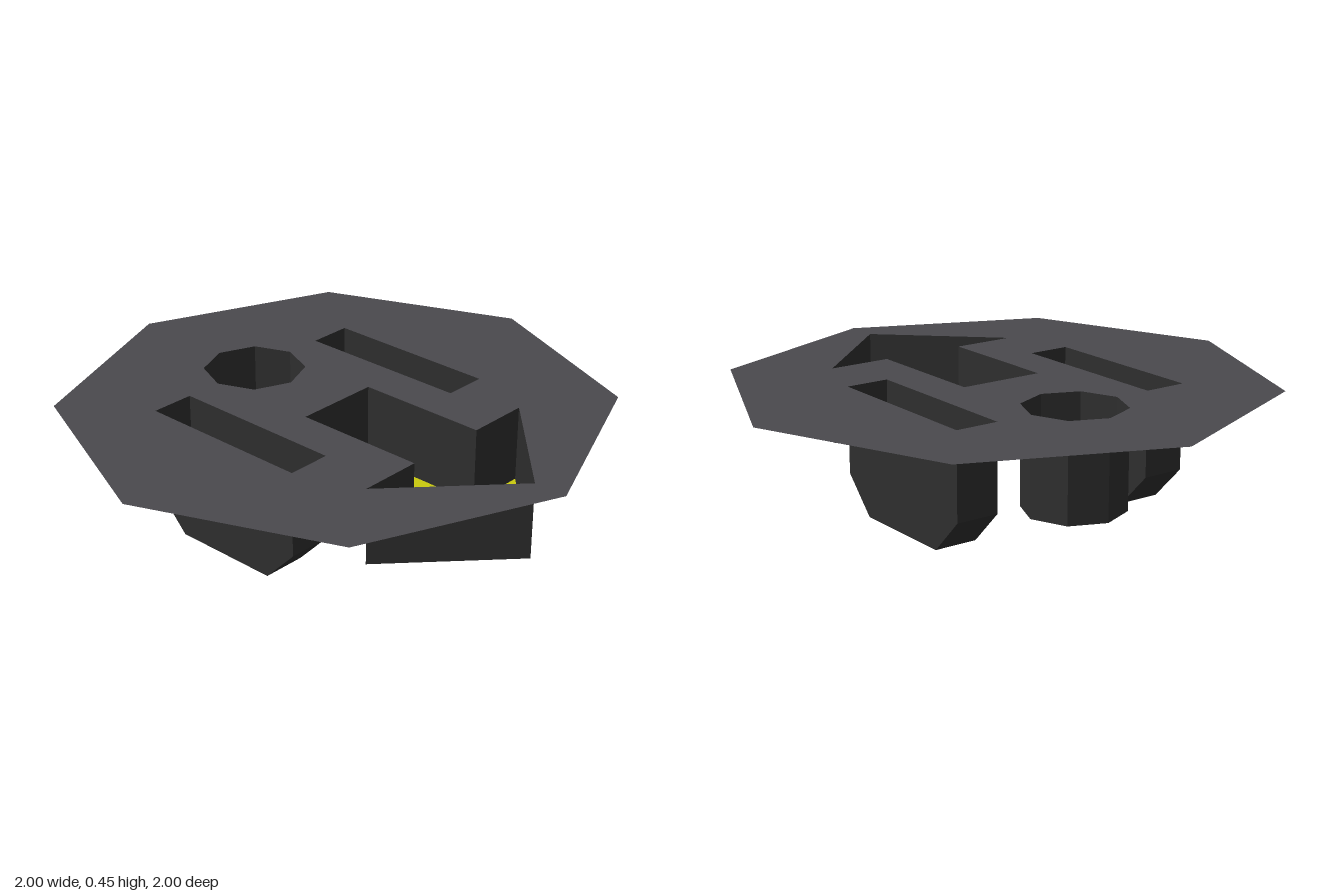
import * as THREE from 'three';

const TOP = 0.45;

const material = (name, color) => {
  const m = new THREE.MeshStandardMaterial({ color, side: THREE.DoubleSide });
  m.name = name;
  return m;
};

// Regular polygon in plan as [x, z] points
const polygon = (n, r, cz = 0, turn = 0) => Array.from({ length: n }, (_, i) => {
  const a = turn + (i / n) * Math.PI * 2;
  return [r * Math.sin(a), cz + r * Math.cos(a)];
});

const vectors = (pts) => pts.map(([a, b]) => new THREE.Vector2(a, b));

// Horizontal sheet at height y from a plan outline, with optional holes
function sheet(outline, y, holes = []) {
  const plan = (pts) => vectors(pts.map(([x, z]) => [x, -z]));
  const shape = new THREE.Shape(plan(outline));
  shape.holes = holes.map((h) => new THREE.Path(plan(h)));
  return new THREE.ShapeGeometry(shape).rotateX(-Math.PI / 2).translate(0, y, 0);
}

// Flat-faced strip of quads joining two rows of points
function strip(a, b) {
  const pos = [];
  for (let i = 0; i < a.length - 1; i++) {
    pos.push(...a[i], ...b[i], ...b[i + 1], ...a[i], ...b[i + 1], ...a[i + 1]);
  }
  const g = new THREE.BufferGeometry();
  g.setAttribute('position', new THREE.Float32BufferAttribute(pos, 3));
  g.computeVertexNormals();
  return g;
}

// Vertical walls of a pocket hanging below the plate
function walls(outline, bottom) {
  const loop = [...outline, outline[0]];
  return strip(loop.map(([x, z]) => [x, TOP, z]), loop.map(([x, z]) => [x, bottom, z]));
}

export function createModel() {
  const model = new THREE.Group();
  const plateGrey = material('plate grey', 0x4a494e);
  const darkGrey = material('dark grey', 0x2e2e2e);
  const yellow = material('yellow', 0xcaca0e);

  const add = (name, geometry, mat, parent = model) => {
    const mesh = new THREE.Mesh(geometry, mat);
    mesh.name = name;
    parent.add(mesh);
    return mesh;
  };

  const arrow = [[-0.163, 0], [0.163, 0], [0.163, 0.5], [0.4, 0.5], [0, 0.875], [-0.4, 0.5], [-0.163, 0.5]];
  const socket = polygon(8, 0.187, -0.417);
  const button = polygon(12, 0.093, -0.417, Math.PI / 12);
  const x0 = 0.325, x1 = 0.488, zBack = -0.417, zFront = 0.25;
  const slot = (s) => [[s * x0, zBack], [s * x1, zBack], [s * x1, zFront], [s * x0, zFront]];

  // Thin octagonal plate with the pocket openings cut out
  add('plate', sheet(polygon(8, 1), TOP, [arrow, socket, slot(1), slot(-1)]), plateGrey);

  // Arrow pocket with a coloured floor
  add('arrowWalls', walls(arrow, 0.165), darkGrey);
  add('arrowFloor', sheet(arrow, 0.165), yellow);

  // Octagonal socket with a round spot in its floor
  add('socketWalls', walls(socket, 0.083), darkGrey);
  add('socketFloor', sheet(socket, 0.083, [button]), darkGrey);
  add('socketSpot', sheet(button, 0.083), yellow);

  // Pair of slots with chamfered bottoms, profile as [z, y]
  const profile = [[zFront, TOP], [zFront, 0.13], [0.125, 0], [-0.29, 0], [zBack, 0.13], [zBack, TOP]];
  for (const s of [1, -1]) {
    const group = new THREE.Group();
    group.name = s > 0 ? 'leftSlot' : 'rightSlot';
    model.add(group);
    const row = (x) => profile.map(([z, y]) => [s * x, y, z]);
    add('slotFloor', strip(row(x0), row(x1)), darkGrey, group);
    for (const x of [x0, x1]) {
      const side = new THREE.ShapeGeometry(new THREE.Shape(vectors(profile)));
      add('slotSide', side.rotateY(-Math.PI / 2).translate(s * x, 0, 0), darkGrey, group);
    }
  }
  return model;
}
